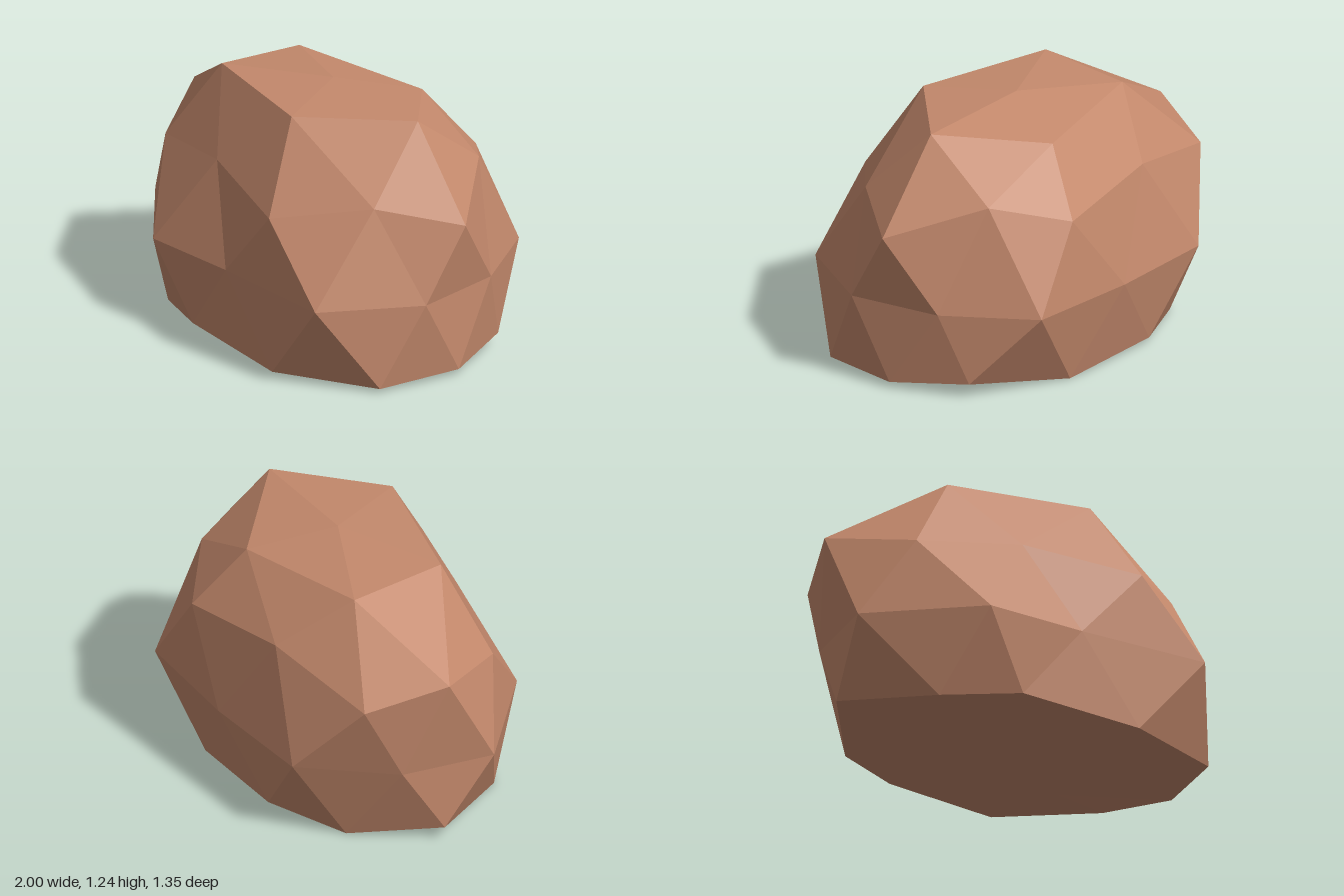
import * as THREE from 'three';

// Horizontal rings of the boulder, each on a ring of a subdivided icosahedron:
// y = height on the unit sphere, start = first angle, pts = sculpted corners
// listed by rising angle (from +x towards +z).
const RINGS = [
  { y: 1, start: 0, pts: [[0.03, 1.235, -0.01]] },
  { y: 0.851, start: 0, pts: [[0.65, 1.205, -0.01], [0.22, 1.205, 0.41], [-0.48, 1.215, 0.25], [-0.48, 1.18, -0.23], [0.22, 1.13, -0.4]] },
  { y: 0.526, start: 36, pts: [[0.73, 0.87, 0.33], [-0.22, 0.87, 0.5], [-1, 0.91, -0.02], [-0.27, 0.91, -0.54], [0.66, 0.93, -0.38]] },
  { y: 0.447, start: 0, pts: [[1, 0.78, -0.01], [0.35, 0.79, 0.66], [-0.74, 0.81, 0.38], [-0.85, 0.8, -0.4], [0.34, 0.83, -0.63]] },
  { y: 0, start: 18, pts: [[0.97, 0.42, 0.21], [0.7, 0.42, 0.67], [0.02, 0.42, 0.65], [-0.5, 0.42, 0.66], [-0.98, 0.42, 0.24],
    [-0.9, 0.42, -0.22], [-0.57, 0.42, -0.63], [0.02, 0.42, -0.68], [0.61, 0.42, -0.67], [0.89, 0.42, -0.26]] },
  { y: -0.447, start: 36, pts: [[0.88, 0.02, 0.42], [-0.28, 0.04, 0.6], [-0.94, 0.07, -0.01], [-0.27, 0.03, -0.58], [0.8, 0.07, -0.38]] },
  { y: -0.526, start: 0, pts: [[0.95, 0.03, -0.01], [0.35, 0, 0.64], [-0.65, 0, 0.44], [-0.65, 0, -0.38], [0.3, 0, -0.58]] },
  { y: -0.851, start: 36, pts: [[0.42, 0, 0.22], [-0.16, 0, 0.35], [-0.5, 0, -0.01], [-0.16, 0, -0.35], [0.42, 0, -0.2]] },
  { y: -1, start: 0, pts: [[0.02, 0, -0.01]] },
];

function boulderGeometry() {
  const dirs = [];
  const corners = [];
  for (const { y, start, pts } of RINGS) {
    const r = Math.sqrt(1 - y * y);
    pts.forEach((p, i) => {
      const a = THREE.MathUtils.degToRad(start + (360 / pts.length) * i);
      dirs.push(new THREE.Vector3(r * Math.cos(a), y, r * Math.sin(a)));
      corners.push(...p);
    });
  }

  // Every three mutually neighbouring directions form one facet, wound outwards
  const near = (i, j) => dirs[i].distanceTo(dirs[j]) < 0.75;
  const normal = new THREE.Vector3();
  const edge = new THREE.Vector3();
  const index = [];
  for (let a = 0; a < dirs.length; a++) {
    for (let b = a + 1; b < dirs.length; b++) {
      if (!near(a, b)) continue;
      for (let c = b + 1; c < dirs.length; c++) {
        if (!near(a, c) || !near(b, c)) continue;
        normal.subVectors(dirs[b], dirs[a]).cross(edge.subVectors(dirs[c], dirs[a]));
        index.push(...(normal.dot(dirs[a]) > 0 ? [a, b, c] : [a, c, b]));
      }
    }
  }

  const shared = new THREE.BufferGeometry();
  shared.setAttribute('position', new THREE.Float32BufferAttribute(corners, 3));
  shared.setIndex(index);
  const geometry = shared.toNonIndexed();
  geometry.computeVertexNormals();
  return geometry;
}

export function createModel() {
  const stone = new THREE.MeshStandardMaterial({ color: 0xc4896c, flatShading: true });
  stone.name = 'reddish stone';

  const boulder = new THREE.Mesh(boulderGeometry(), stone);
  boulder.name = 'boulder';

  const model = new THREE.Group();
  model.name = 'rock';
  model.add(boulder);
  return model;
}
